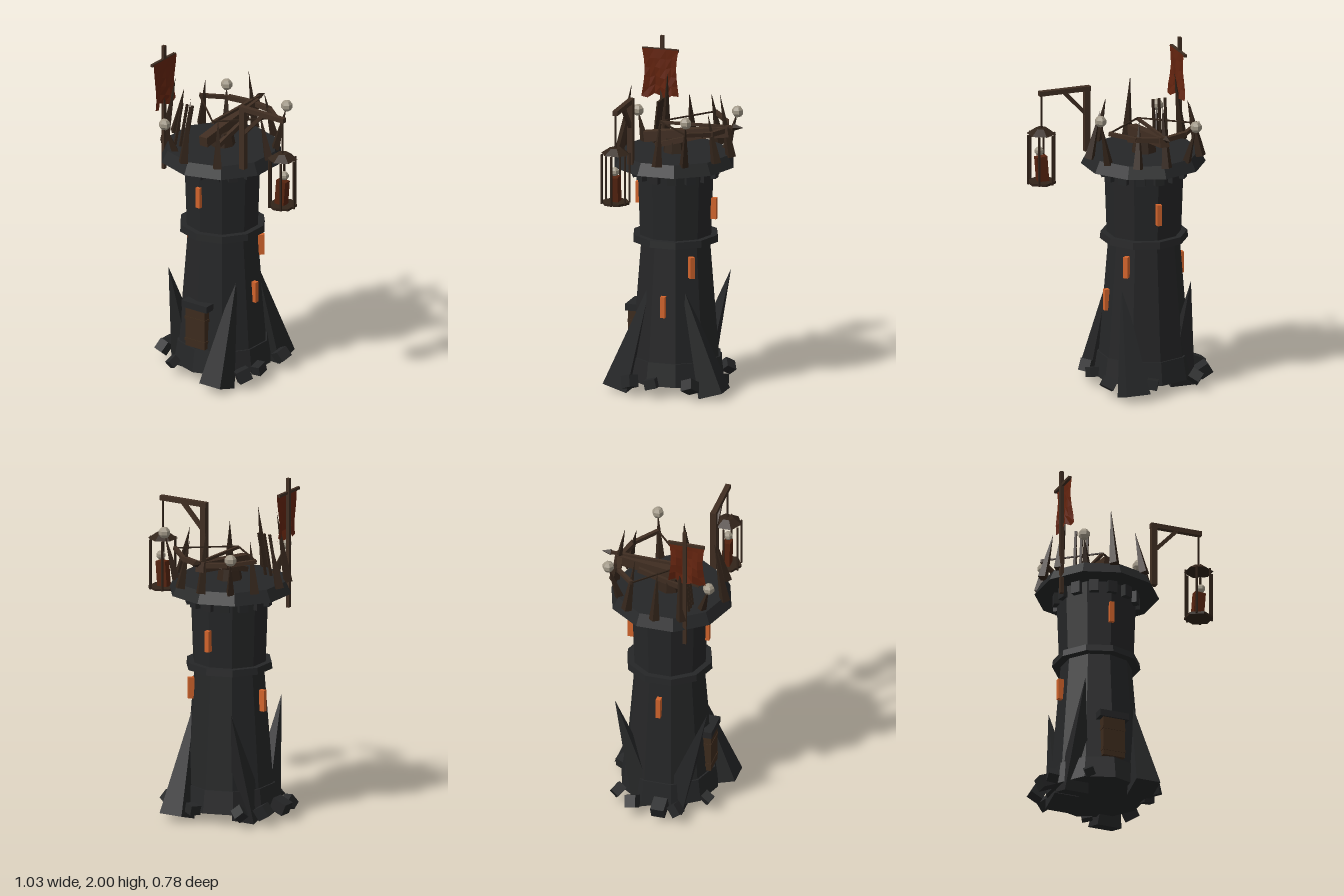
import * as THREE from 'three';

const CX = -0.135, CZ = 0.015; // tower axis
const mat = (name, color) => {
  const m = new THREE.MeshStandardMaterial({ color, flatShading: true });
  m.name = name;
  return m;
};

export function createModel() {
  const root = new THREE.Group();
  root.name = 'watchtower';
  const stone = mat('dark stone', 0x252627);
  const wood = mat('wood', 0x402e22);
  const darkWood = mat('dark wood', 0x32241a);
  const doorWood = mat('door wood', 0x3d2b1d);
  const glow = mat('window glow', 0xd2642c);
  const bone = mat('bone', 0xa39a89);
  const cloth = mat('banner cloth', 0x64240f);
  cloth.side = THREE.DoubleSide;
  const rag = mat('rags', 0x55230f);

  const add = (name, geo, m, x = 0, y = 0, z = 0) => {
    const mesh = new THREE.Mesh(geo, m);
    mesh.name = name;
    mesh.position.set(x, y, z);
    root.add(mesh);
    return mesh;
  };
  const box = (name, m, w, h, d, x, y, z) => add(name, new THREE.BoxGeometry(w, h, d), m, x, y, z);
  // Straight timber between two points
  const beam = (name, m, a, b, w, h = w) => {
    const p = new THREE.Vector3(...a), q = new THREE.Vector3(...b);
    const c = p.clone().add(q).multiplyScalar(0.5);
    const mesh = box(name, m, w, h, p.distanceTo(q), c.x, c.y, c.z);
    mesh.lookAt(q);
    return mesh;
  };
  // Pointed stake from base point to tip
  const stake = (name, m, a, b, r, sides = 4) => {
    const p = new THREE.Vector3(...a), d = new THREE.Vector3(...b).sub(p), len = d.length();
    const geo = new THREE.ConeGeometry(r, len, sides);
    const mesh = add(name, geo, m, p.x + d.x / 2, p.y + d.y / 2, p.z + d.z / 2);
    mesh.quaternion.setFromUnitVectors(new THREE.Vector3(0, 1, 0), d.normalize());
    return mesh;
  };
  const skull = (x, y, z, r) =>
    add('skull', new THREE.SphereGeometry(r, 6, 5).rotateY(Math.PI / 6), bone, x, y, z);
  const ring = (name, y0, y1, r0, r1, z = CZ) =>
    add(name, new THREE.CylinderGeometry(r1, r0, y1 - y0, 10), stone, CX, (y0 + y1) / 2, z);

  // Tower body
  ring('plinth', 0.065, 0.2, 0.29, 0.27);
  ring('shaft', 0.2, 0.89, 0.26, 0.205);
  ring('stringCourse', 0.88, 0.92, 0.255, 0.25);
  ring('upperTower', 0.92, 1.34, 0.215, 0.23);
  ring('platform', 1.33, 1.4, 0.36, 0.325, 0.025);
  for (let i = 0; i < 14; i++) {
    const a = (i / 14) * Math.PI * 2;
    const c = box('corbel', stone, 0.055, 0.07, 0.06, CX + Math.sin(a) * 0.22, 1.295, CZ + Math.cos(a) * 0.22);
    c.rotation.y = a;
  }

  // Leaning buttresses
  for (const s of [1, -1]) {
    for (const [x, z, lean] of [[0.04, 0.29, -0.3], [-0.317, 0.075, 0.3]]) {
      const geo = new THREE.ConeGeometry(0.105, 0.68, 4).rotateY(Math.PI / 4).translate(0, 0.34, 0);
      add('buttress', geo, stone, x, 0.025, CZ + s * z).rotation.x = lean * s;
    }
  }

  // Rubble at the foot
  [[174, 0.33, 0.09], [158, 0.35, 0.07], [203, 0.34, 0.08], [228, 0.33, 0.07], [282, 0.3, 0.07],
    [328, 0.34, 0.08], [10, 0.3, 0.07], [33, 0.34, 0.08], [120, 0.31, 0.06]].forEach(([deg, r, s], i) => {
    const a = (deg * Math.PI) / 180;
    const k = box('rubble', stone, s, s * 0.8, s * 0.9, CX + r * Math.cos(a), 0.085, CZ + r * Math.sin(a));
    k.rotation.set(i * 0.7, i * 1.3, 0.4 - i * 0.2);
  });

  // Door
  box('door', doorWood, 0.135, 0.24, 0.05, CX, 0.33, 0.256);
  box('doorBand', doorWood, 0.142, 0.018, 0.056, CX, 0.385, 0.256);
  box('doorBand', doorWood, 0.142, 0.018, 0.056, CX, 0.25, 0.256);
  box('lintel', stone, 0.18, 0.04, 0.07, CX, 0.47, 0.256);

  // Glowing windows: heading, radius, height
  for (const [deg, r, y] of [[0, 0.222, 1.14], [180, 0.232, 1.08], [90, 0.23, 0.53], [270, 0.225, 0.705], [132, 0.225, 0.76]]) {
    const a = (deg * Math.PI) / 180;
    box('window', glow, 0.028, 0.125, 0.035, CX + Math.sin(a) * r, y, CZ + Math.cos(a) * r).rotation.y = a;
  }

  // Rim stakes: heading, height
  for (const [deg, h] of [[0, 0.27], [58, 0.27], [95, 0.37], [153, 0.4], [180, 0.28], [213, 0.3], [268, 0.36], [297, 0.27]]) {
    const a = (deg * Math.PI) / 180, c = Math.cos(a), s = Math.sin(a);
    stake('rimStake', darkWood, [CX + 0.335 * c, 1.39, 0.02 + 0.335 * s], [CX + 0.27 * c, 1.4 + h, 0.02 + 0.27 * s], 0.032);
  }
  // Skulls on poles
  for (const [x, y, z] of [[-0.335, 1.61, -0.295], [0.2, 1.665, -0.155], [-0.333, 1.57, 0.307]]) {
    const bx = CX + (x - CX) * 0.82, bz = CZ + (z - CZ) * 0.82;
    stake('skullPole', darkWood, [bx, 1.39, bz], [x, y, z], 0.028);
    skull(x, y, z, 0.035);
  }

  // Ballista
  add('pedestal', new THREE.CylinderGeometry(0.06, 0.075, 0.08, 8), darkWood, CX, 1.44, CZ);
  beam('stock', wood, [CX, 1.475, 0.2], [CX, 1.545, -0.31], 0.055, 0.06);
  for (const s of [1, -1]) {
    beam('sideRail', wood, [CX + s * 0.052, 1.44, 0.12], [CX + s * 0.052, 1.52, -0.16], 0.02, 0.03);
    const elbow = [CX + s * 0.15, 1.56, -0.245], tip = [CX + s * 0.275, 1.578, -0.135];
    beam('bowArm', wood, [CX, 1.55, -0.285], elbow, 0.028);
    beam('bowArm', wood, elbow, tip, 0.022);
    beam('bowString', darkWood, tip, [CX, 1.57, 0.11], 0.008);
  }
  beam('bolt', wood, [CX, 1.565, 0.11], [CX, 1.572, -0.34], 0.016);
  stake('boltHead', darkWood, [CX, 1.572, -0.335], [CX, 1.572, -0.395], 0.022);

  // Spare bolts
  for (let i = 0; i < 3; i++) {
    const x = -0.345 + i * 0.037;
    beam('spareBolt', darkWood, [x, 1.4, 0.19], [x + 0.025, 1.655, 0.155], 0.014);
  }

  // Banner on its pole
  box('bannerPole', wood, 0.02, 0.77, 0.022, -0.425, 1.615, 0.19);
  box('bannerYard', wood, 0.016, 0.016, 0.22, -0.422, 1.915, 0.2);
  const flag = new THREE.PlaneGeometry(0.22, 0.28, 6, 5).rotateY(Math.PI / 2);
  const fp = flag.attributes.position;
  for (let i = 0; i < fp.count; i++) {
    const y = fp.getY(i), z = fp.getZ(i), drop = (0.14 - y) / 0.28;
    fp.setX(i, 0.016 * Math.sin(z * 40 + drop * 4) * drop);
    fp.setZ(i, z * (1 - 0.14 * Math.sin(drop * Math.PI)));
    fp.setY(i, y + 0.014 * Math.sin(z * 55) * drop);
  }
  add('banner', flag, cloth, -0.41, 1.78, 0.198);

  // Gallows arm
  const GZ = 0.195, LX = 0.428;
  box('gallowsPost', wood, 0.034, 0.39, 0.034, 0.148, 1.575, GZ);
  box('gallowsBeam', wood, 0.315, 0.028, 0.03, 0.285, 1.757, GZ);
  beam('gallowsBrace', wood, [0.15, 1.6, GZ], [0.29, 1.75, GZ], 0.022);
  box('rope', darkWood, 0.008, 0.21, 0.008, LX, 1.645, GZ);

  // Hanging cage with remains
  add('cageRoof', new THREE.CylinderGeometry(0.035, 0.086, 0.035, 6), darkWood, LX, 1.533, GZ);
  add('cageFloor', new THREE.CylinderGeometry(0.084, 0.084, 0.014, 6), darkWood, LX, 1.225, GZ);
  for (let i = 0; i < 6; i++) {
    const a = (i * Math.PI) / 3;
    box('cageBar', darkWood, 0.01, 0.295, 0.01, LX + 0.082 * Math.cos(a), 1.368, GZ + 0.082 * Math.sin(a));
  }
  box('remains', rag, 0.065, 0.15, 0.045, LX - 0.002, 1.305, GZ).rotation.z = -0.08;
  skull(0.442, 1.412, GZ, 0.027);

  return root;
}
